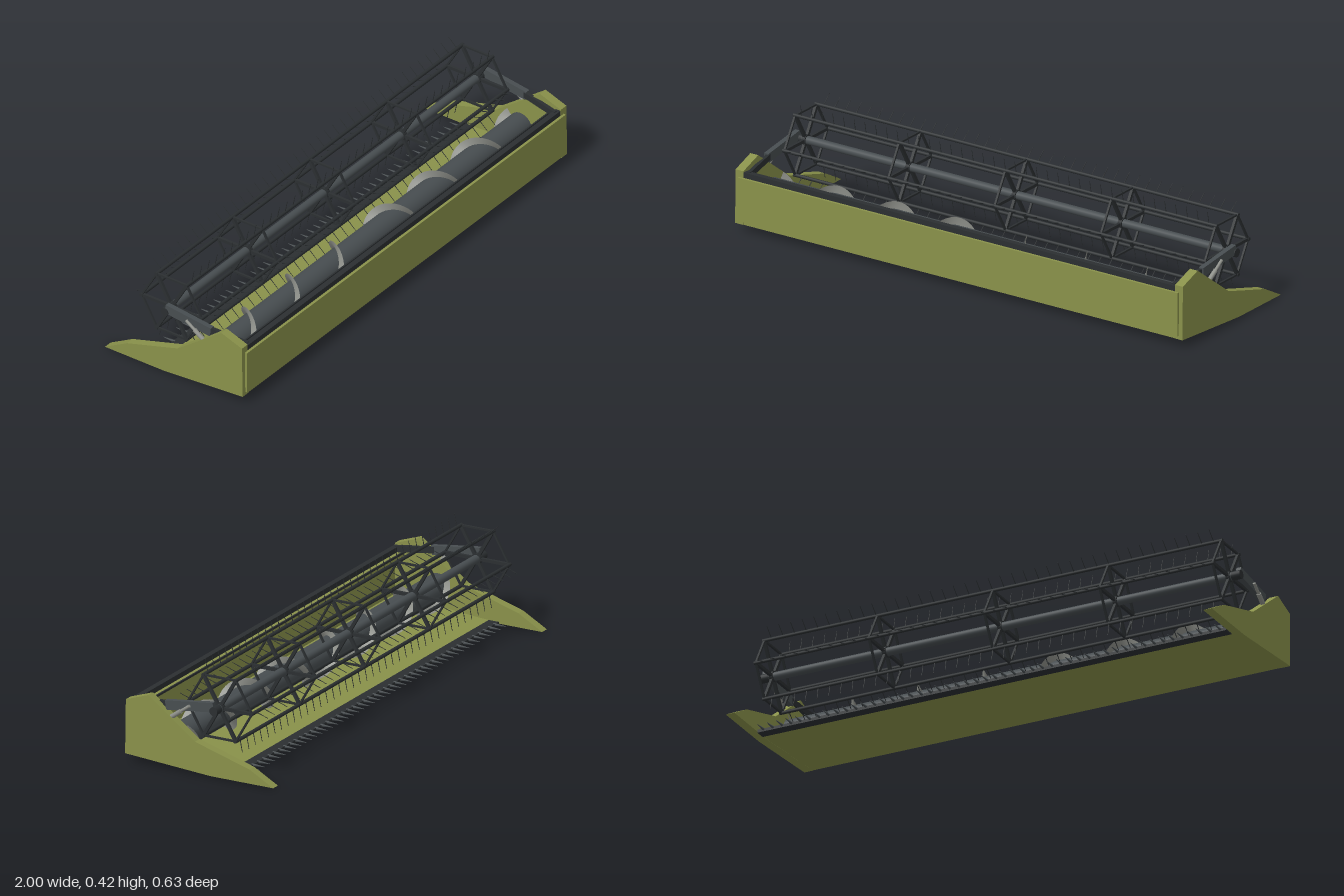
import * as THREE from 'three';
import { mergeGeometries } from 'three/addons/utils/BufferGeometryUtils.js';

const mat = (name, color, extra = {}) => {
  const m = new THREE.MeshStandardMaterial({ color, ...extra });
  m.name = name;
  return m;
};
const V = (x, y, z) => new THREE.Vector3(x, y, z);

// Matrix that carries the z axis onto the line a-b, centred between them
function along(a, b) {
  const o = new THREE.Object3D();
  o.position.copy(a).add(b).multiplyScalar(0.5);
  o.lookAt(b);
  o.updateMatrix();
  return o.matrix;
}
const bar = (a, b, w, h) =>
  new THREE.BoxGeometry(w, h, a.distanceTo(b)).applyMatrix4(along(a, b));
const rod = (a, b, r0, r1, sides = 12) =>
  new THREE.CylinderGeometry(r1, r0, a.distanceTo(b), sides).rotateX(Math.PI / 2).applyMatrix4(along(a, b));
const box = (w, h, d, x, y, z) => new THREE.BoxGeometry(w, h, d).translate(x, y, z);

// Flat profile of [z, y] points, extruded along x from x0 to x1
function profile(points, x0, x1) {
  const shape = new THREE.Shape(points.map(([z, y]) => new THREE.Vector2(z, y)));
  return new THREE.ExtrudeGeometry(shape, { depth: x1 - x0, bevelEnabled: false })
    .rotateY(-Math.PI / 2).translate(x1, 0, 0);
}

// Helical ribbon around the auger; mirrored in x by side
function flighting(side, cy, cz, inner, outer) {
  const pos = [], idx = [], n = 120, x0 = 0.04, x1 = 0.95, pitch = 0.27;
  for (let i = 0; i <= n; i++) {
    const x = x0 + (x1 - x0) * i / n;
    const a = Math.PI / 2 - (x - 0.17) * 2 * Math.PI / pitch;
    for (const r of [inner, outer]) pos.push(side * x, cy + r * Math.sin(a), cz + r * Math.cos(a));
    const k = 2 * i;
    if (i < n) idx.push(k, k + 1, k + 2, k + 1, k + 3, k + 2);
  }
  const g = new THREE.BufferGeometry();
  g.setAttribute('position', new THREE.Float32BufferAttribute(pos, 3));
  g.setIndex(idx);
  g.computeVertexNormals();
  return g;
}

export function createModel() {
  const model = new THREE.Group();
  model.name = 'harvesterHeader';
  const olive = mat('olivePaint', 0x89914a);
  const dark = mat('darkSteel', 0x2b2f31);
  const slate = mat('slateSteel', 0x474d50);
  const grey = mat('bareMetal', 0x8c8e88, { side: THREE.DoubleSide });
  const add = (name, geometry, material) => {
    const m = new THREE.Mesh(geometry, material);
    m.name = name;
    model.add(m);
  };
  const sides = [-1, 1];

  // Side dividers
  const divider = [[0.31, 0.03], [0.307, 0.24], [0.213, 0.273], [0.015, 0.127],
    [-0.215, 0.06], [-0.315, 0.005], [-0.05, 0.005]];
  add('rightDivider', profile(divider, -1, -0.965), olive);
  add('leftDivider', profile(divider, 0.965, 1), olive);

  // Floor pan and back wall
  add('floorPan', profile([[0.308, 0.03], [0.308, 0.045], [0.285, 0.04], [-0.05, 0.014],
    [-0.13, 0.01], [-0.13, 0.006], [-0.05, 0.006]], -0.966, 0.966), olive);
  add('backWall', box(1.966, 0.17, 0.012, 0, 0.129, 0.311), olive);
  add('wallLip', box(1.93, 0.018, 0.03, 0, 0.206, 0.283), olive);

  // Top frame beam
  add('topBeam', box(1.94, 0.022, 0.022, 0, 0.224, 0.295), dark);
  add('innerRail', box(1.93, 0.008, 0.006, 0, 0.215, 0.262), dark);

  // Cutter bar with pointed guards
  add('cutterBar', box(1.93, 0.012, 0.042, 0, 0.006, -0.111), dark);
  const guards = [];
  for (let i = 0; i < 50; i++) {
    const x = -0.94 + 1.88 * i / 49;
    guards.push(rod(V(x, 0.009, -0.125), V(x, 0.009, -0.178), 0.006, 0.001, 5));
  }
  add('knifeGuards', mergeGeometries(guards), slate);

  // Auger
  const ay = 0.105, az = 0.125;
  add('augerTube', rod(V(-0.966, ay, az), V(0.966, ay, az), 0.05, 0.05, 32), slate);
  for (const s of sides) add(s > 0 ? 'leftFlighting' : 'rightFlighting', flighting(s, ay, az, 0.049, 0.078), grey);

  // Reel: centre tube, hexagonal spiders, bats and tines
  const ry = 0.252, rz = -0.055, R = 0.136;
  const corner = (x, k, r = R) => {
    const a = k * Math.PI / 3;
    return V(x, ry + r * Math.sin(a), rz - r * Math.cos(a));
  };
  add('reelTube', rod(V(-0.955, ry, rz), V(0.955, ry, rz), 0.016, 0.016, 20), slate);
  const spiders = [], bats = [], tines = [];
  for (const x of [-0.94, -0.475, 0, 0.475, 0.94]) {
    spiders.push(rod(V(x - 0.008, ry, rz), V(x + 0.008, ry, rz), 0.021, 0.021, 16));
    for (let k = 0; k < 6; k++) {
      spiders.push(bar(corner(x, k, 0.012), corner(x, k), 0.011, 0.012));
      spiders.push(bar(corner(x, k), corner(x, k + 1), 0.008, 0.007));
    }
  }
  for (let k = 0; k < 6; k++) {
    bats.push(rod(corner(-0.947, k), corner(0.947, k), 0.007, 0.007, 8));
    const t = k * Math.PI / 3 - 0.32;
    const reach = V(0, 0.052 * Math.sin(t), -0.052 * Math.cos(t));
    for (let i = 0; i < 39; i++) {
      const p = corner(-0.91 + 1.82 * i / 38, k);
      tines.push(rod(p, p.clone().add(reach), 0.002, 0.0012, 4));
    }
  }
  add('reelSpiders', mergeGeometries(spiders), dark);
  add('reelBats', mergeGeometries(bats), dark);
  add('reelTines', mergeGeometries(tines), dark);

  // Reel arms: sleeve, inner arm, bearing and lift cylinder on each side
  for (const s of sides) {
    const n = s > 0 ? 'left' : 'right';
    add(n + 'ArmSleeve', bar(V(s * 0.975, 0.266, -0.053), V(s * 0.972, 0.24, 0.15), 0.02, 0.036), slate);
    add(n + 'ArmInner', bar(V(s * 0.972, 0.244, 0.12), V(s * 0.948, 0.226, 0.295), 0.014, 0.024), dark);
    add(n + 'Bearing', rod(V(s * 0.952, ry, rz), V(s * 0.988, ry, rz), 0.017, 0.017, 16), dark);
    add(n + 'LiftBarrel', rod(V(s * 0.985, 0.165, 0.172), V(s * 0.988, 0.23, 0.082), 0.009, 0.009, 12), grey);
    add(n + 'LiftRod', rod(V(s * 0.988, 0.23, 0.082), V(s * 0.989, 0.257, 0.045), 0.006, 0.006, 10), grey);
  }
  return model;
}
